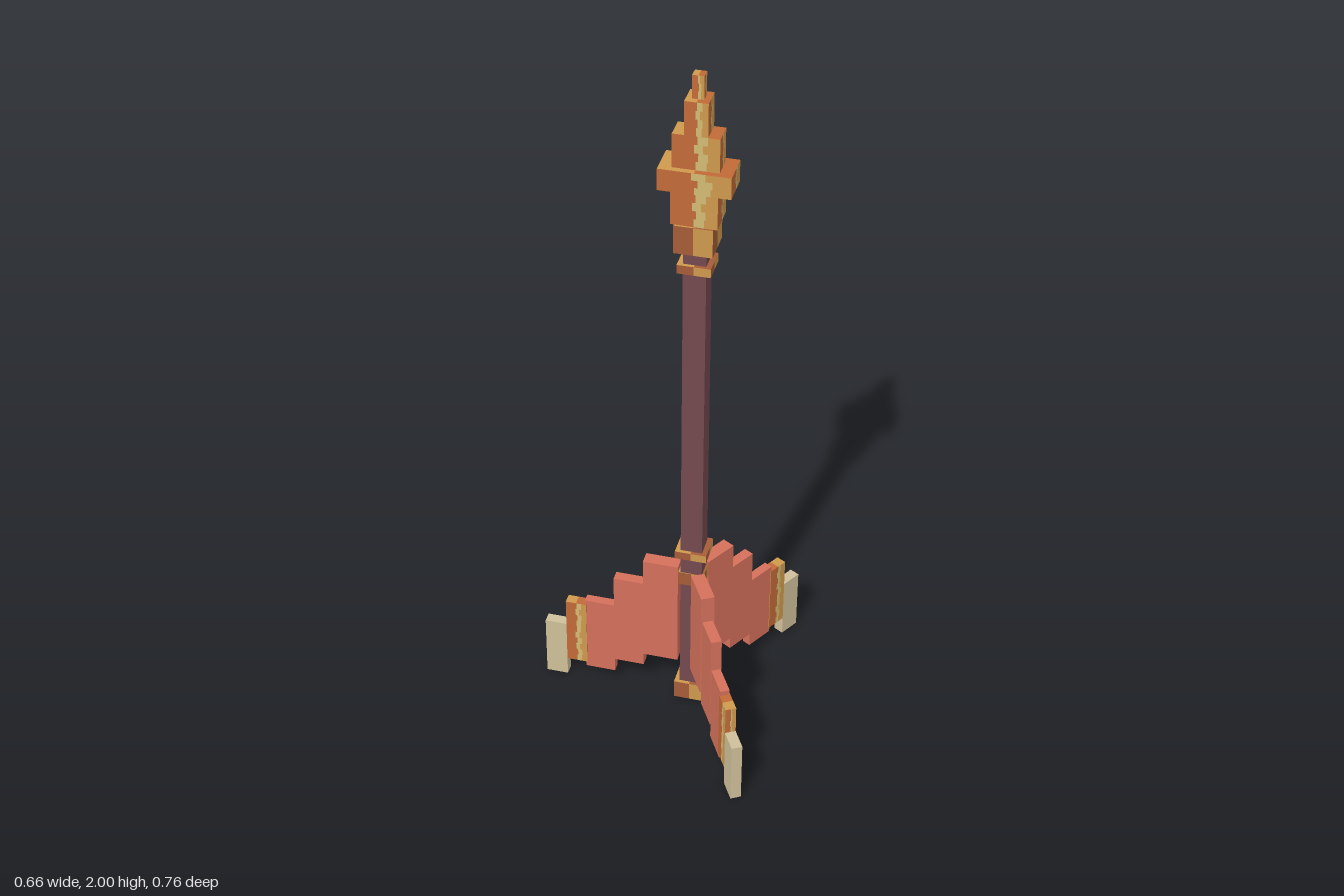
import * as THREE from 'three';
import { mergeGeometries } from 'three/addons/utils/BufferGeometryUtils.js';

const mat = (name, color) => {
  const m = new THREE.MeshStandardMaterial({ color });
  m.name = name;
  return m;
};

export function createModel() {
  const M = {
    wood: mat('dark wood', 0x74494f),
    red: mat('red feather', 0xd4705b),
    tan: mat('pale tan', 0xd0c09a),
    orange: mat('burnt orange', 0xc26a38),
    gold: mat('gold', 0xcf994d),
    pale: mat('pale gold', 0xd3bc74),
    brown: mat('copper brown', 0xa65c38),
  };
  const model = new THREE.Group();
  model.name = 'arrow';
  const arrow = new THREE.Group();
  arrow.name = 'arrowAxis';
  arrow.position.x = 0.1;
  model.add(arrow);

  // Plain box spanning x0..x1 and y0..y1, centred on z
  const box = (parent, name, x0, x1, y0, y1, depth, material) => {
    const m = new THREE.Mesh(new THREE.BoxGeometry(x1 - x0, y1 - y0, depth), material);
    m.position.set((x0 + x1) / 2, (y0 + y1) / 2, 0);
    m.name = name;
    parent.add(m);
  };

  // Box whose every side is dark on the left and gold on the right,
  // optionally with a jagged pale seam between the two
  const jag = [0, 0.05, -0.04, 0.03, -0.06, 0.02];
  const bandedBox = (parent, name, x0, x1, y0, y1, depth, dark, seam) => {
    const w = x1 - x0, h = y1 - y0;
    const parts = { dark: [], pale: [], gold: [] };
    const strip = (list, a, b, lo, hi, faceW, place) => {
      const g = new THREE.PlaneGeometry((b - a) * faceW, hi - lo);
      g.translate(((a + b) / 2 - 0.5) * faceW, (lo + hi) / 2, 0);
      list.push(place(g));
    };
    const rows = seam ? Math.max(2, Math.round(h / 0.022)) : 1;
    for (let s = 0; s < 4; s++) {
      const faceW = s % 2 ? depth : w, out = (s % 2 ? w : depth) / 2;
      const place = (g) => g.translate(0, 0, out).rotateY((s * Math.PI) / 2);
      for (let r = 0; r < rows; r++) {
        const lo = -h / 2 + (h * r) / rows, hi = lo + h / rows;
        const a = seam ? 0.5 + jag[(r + s) % 6] : 0.5;
        const b = seam ? a + 0.17 + jag[(r * 2 + s + 1) % 6] : a;
        strip(parts.dark, 0, a, lo, hi, faceW, place);
        if (seam) strip(parts.pale, a, b, lo, hi, faceW, place);
        strip(parts.gold, b, 1, lo, hi, faceW, place);
      }
    }
    // Caps, gold on the -x half
    for (const up of [1, -1]) {
      const place = (g) => g.rotateX((-up * Math.PI) / 2).translate(0, (up * h) / 2, 0);
      strip(parts.gold, 0, 0.5, -depth / 2, depth / 2, w, place);
      strip(parts.dark, 0.5, 1, -depth / 2, depth / 2, w, place);
    }
    const group = new THREE.Group();
    group.name = name;
    group.position.set((x0 + x1) / 2, (y0 + y1) / 2, 0);
    const colours = { dark, pale: M.pale, gold: M.gold };
    for (const key in parts) {
      if (!parts[key].length) continue;
      const m = new THREE.Mesh(mergeGeometries(parts[key]), colours[key]);
      m.name = `${name} ${key}`;
      group.add(m);
    }
    parent.add(group);
  };

  // Shaft
  box(arrow, 'shaft', -0.03, 0.03, 0.02, 1.53, 0.06, M.wood);

  // Nock and bindings: half width, bottom, top, depth
  [
    ['nock', 0.044, 0.01, 0.067, 0.08],
    ['finBinding', 0.036, 0.43, 0.472, 0.064],
    ['lowerBinding', 0.044, 0.527, 0.551, 0.08],
    ['upperBinding', 0.044, 1.455, 1.48, 0.08],
  ].forEach(([n, hw, y0, y1, d]) => bandedBox(arrow, n, -hw, hw, y0, y1, d, M.brown, false));

  // Stepped head
  [
    [0.05, 1.52, 1.6, 0.1],
    [0.06, 1.6, 1.692, 0.09],
    [0.093, 1.692, 1.752, 0.092],
    [0.06, 1.752, 1.845, 0.06],
    [0.03, 1.845, 1.937, 0.06],
    [0.015, 1.937, 2, 0.027],
  ].forEach(([hw, y0, y1, d], i) =>
    bandedBox(arrow, `headTier${i + 1}`, -hw, hw, y0, y1, d, i ? M.orange : M.brown, i > 0));

  // Three stepped fins around the shaft
  for (let k = 0; k < 3; k++) {
    const fin = new THREE.Group();
    fin.name = `fin${k + 1}`;
    fin.rotation.y = (k * Math.PI * 2) / 3;
    box(fin, 'finRoot', -0.14, -0.04, 0.132, 0.476, 0.038, M.red);
    box(fin, 'finMiddle', -0.226, -0.14, 0.088, 0.392, 0.03, M.red);
    box(fin, 'finOuter', -0.312, -0.226, 0.042, 0.29, 0.026, M.red);
    bandedBox(fin, 'finBand', -0.368, -0.308, 0.058, 0.275, 0.03, M.orange, true);
    box(fin, 'finTip', -0.43, -0.368, 0, 0.19, 0.03, M.tan);
    arrow.add(fin);
  }
  return model;
}
